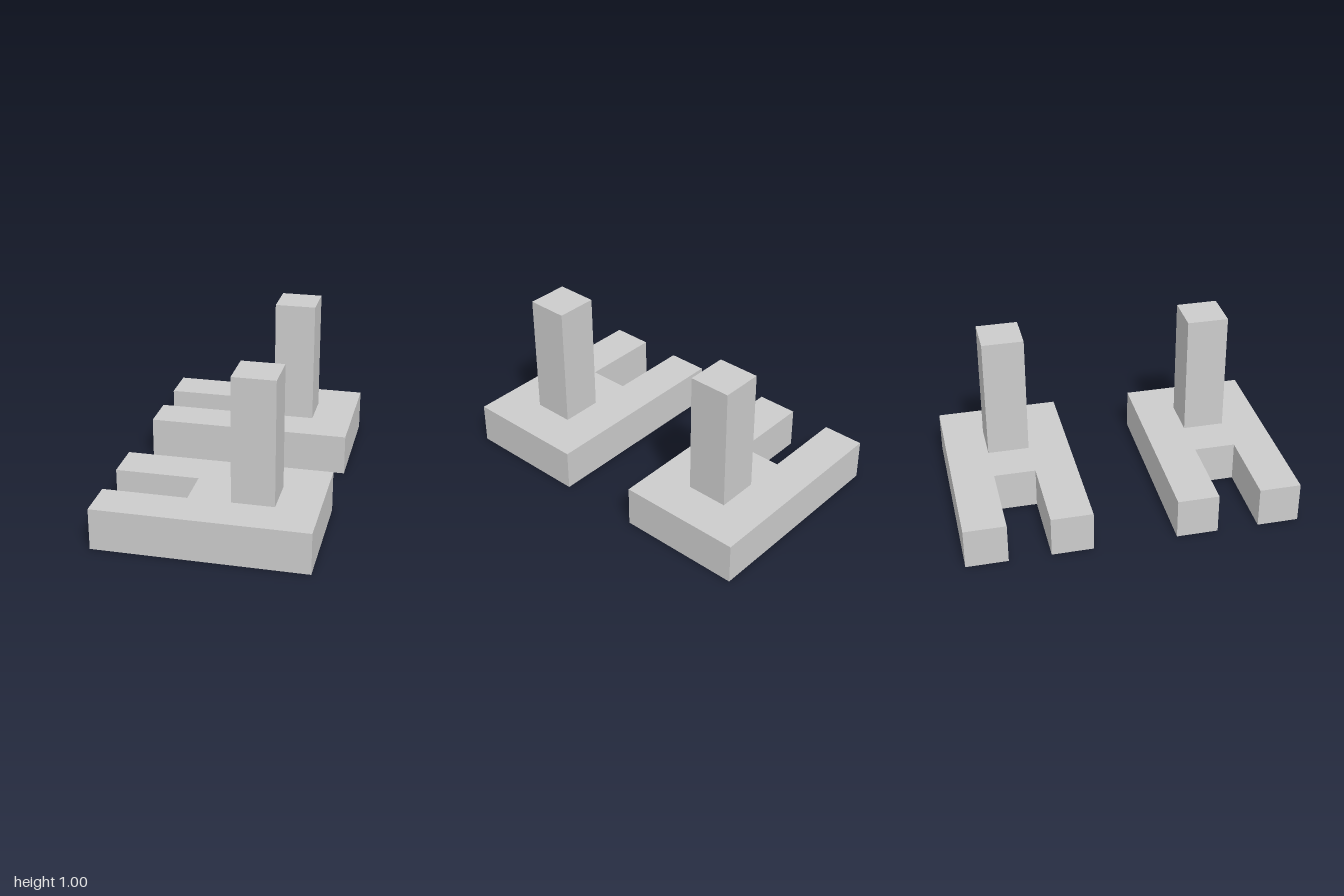
import * as THREE from 'three';

const material = new THREE.MeshStandardMaterial({ color: 0xcccccc });

// U-shaped slab, slot open towards -x
function createBase() {
  const shape = new THREE.Shape([
    [-0.625, -0.375], [0.625, -0.375], [0.625, 0.375], [-0.625, 0.375],
    [-0.625, 0.125], [-0.125, 0.125], [-0.125, -0.125], [-0.625, -0.125],
  ].map(([x, y]) => new THREE.Vector2(x, y)));
  const geometry = new THREE.ExtrudeGeometry(shape, { depth: 0.25, bevelEnabled: false });
  geometry.rotateX(-Math.PI / 2);
  const base = new THREE.Mesh(geometry, material);
  base.name = 'slottedBase';
  return base;
}

// Square post standing on the solid end of the slab
function createPost() {
  const post = new THREE.Mesh(new THREE.BoxGeometry(0.25, 0.75, 0.25), material);
  post.name = 'post';
  post.position.set(0.25, 0.625, 0);
  return post;
}

export function createModel() {
  const model = new THREE.Group();
  model.name = 'bracketPair';
  for (const [name, z] of [['frontBracket', 0.625], ['backBracket', -0.625]]) {
    const bracket = new THREE.Group();
    bracket.name = name;
    bracket.position.z = z;
    bracket.add(createBase(), createPost());
    model.add(bracket);
  }
  return model;
}
